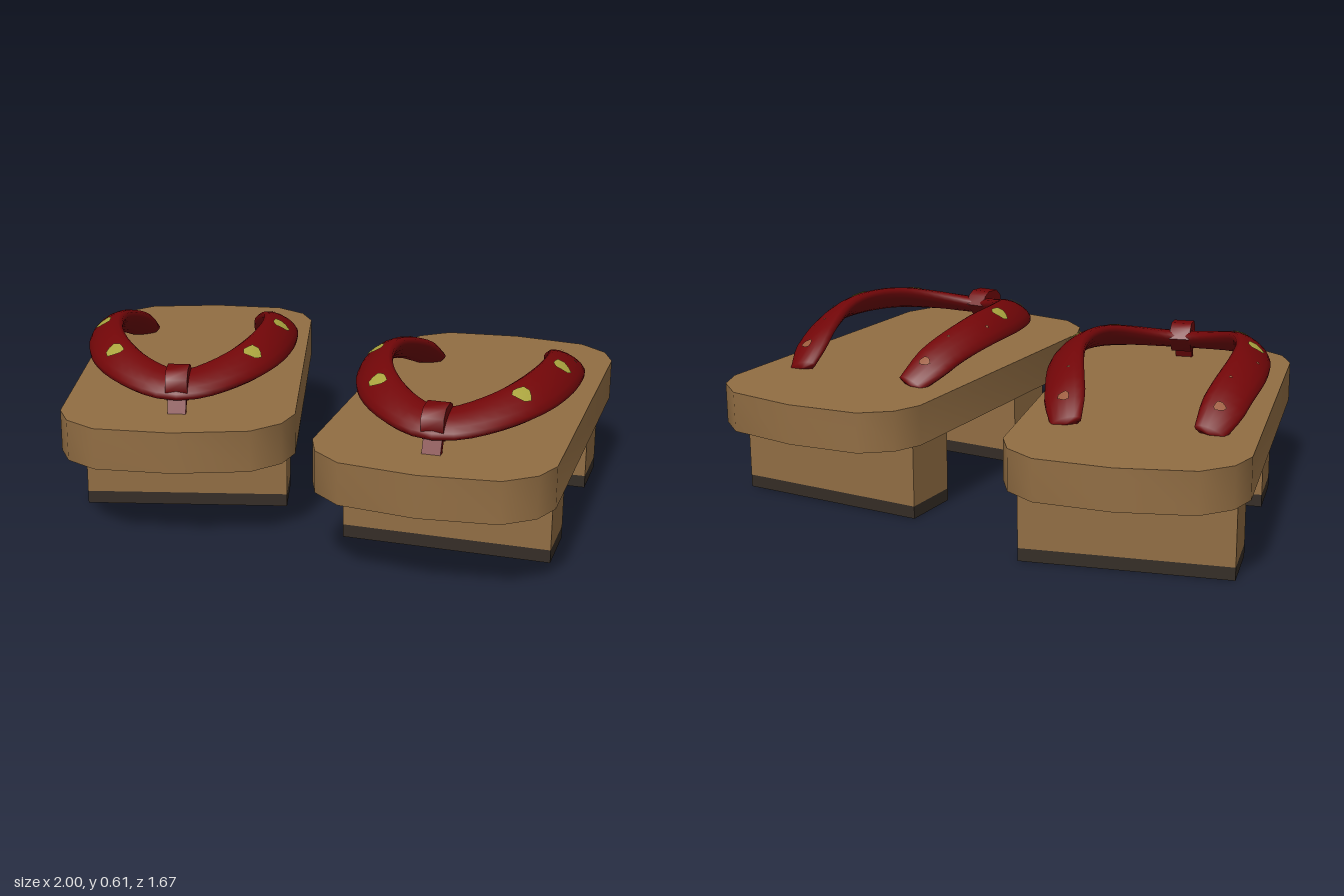
import * as THREE from 'three';
import { toCreasedNormals } from 'three/addons/utils/BufferGeometryUtils.js';

const material = (name, color, side = THREE.FrontSide) => {
  const m = new THREE.MeshStandardMaterial({ color, side });
  m.name = name;
  return m;
};
const V = (x, y, z) => new THREE.Vector3(x, y, z);
const DECK_TOP = 0.423, DECK_BOTTOM = 0.28;

// Half of the strap path, from the rear end to the toe, in sandal coordinates
const half = [
  [-0.235, 0.425, -0.387], [-0.277, 0.507, -0.23], [-0.314, 0.557, -0.03], [-0.308, 0.563, 0.15],
  [-0.262, 0.552, 0.31], [-0.182, 0.53, 0.425], [-0.07, 0.508, 0.51],
];
const path = new THREE.CatmullRomCurve3([
  ...half.map(p => V(...p)),
  V(0, 0.503, 0.53),
  ...half.slice().reverse().map(([x, y, z]) => V(-x, y, z)),
]);

// Point on the flattened strap at path position t and section angle a;
// the strap leans outward most along the sides
function strapPoint(t, a, scale = 1, lift = 0) {
  const tangent = path.getTangentAt(t);
  const side = tangent.clone().cross(V(0, 1, 0)).normalize();
  const up = side.clone().cross(tangent).normalize();
  const tilt = 0.35 + 0.3 * Math.sin(2 * Math.PI * t) ** 2;
  const c = Math.cos(tilt), s = Math.sin(tilt);
  const out = side.clone().multiplyScalar(c).addScaledVector(up, -s);
  const top = up.multiplyScalar(c).addScaledVector(side, s);
  return path.getPointAt(t)
    .addScaledVector(out, (0.074 + lift) * scale * Math.cos(a))
    .addScaledVector(top, (0.031 + lift) * scale * Math.sin(a));
}

function surface(points, index) {
  const g = new THREE.BufferGeometry().setFromPoints(points);
  g.setIndex(index);
  g.computeVertexNormals();
  return g;
}

function strapGeometry() {
  const rings = 48, sides = 14, points = [], index = [];
  for (let i = 0; i <= rings; i++) {
    // the end rings close to a rounded tip
    const fromEnd = Math.min(i, rings - i);
    const scale = [0.01, 0.72, 0.93][fromEnd] ?? 1;
    const t = i === 1 ? 0.004 : i === rings - 1 ? 0.996 : i / rings;
    for (let j = 0; j < sides; j++) {
      points.push(strapPoint(t, (j / sides) * Math.PI * 2, scale));
      if (i === rings) continue;
      const a = i * sides + j, b = i * sides + (j + 1) % sides;
      index.push(a, a + sides, b, b, a + sides, b + sides);
    }
  }
  return surface(points, index);
}

// Painted patch that follows the strap surface
function spotGeometry(t, a, r) {
  const n = 9, lift = 0.004, points = [strapPoint(t, a, 1, lift)], index = [];
  for (let ring = 1; ring <= 2; ring++) {
    for (let k = 0; k < n; k++) {
      const w = (k / n) * Math.PI * 2, q = r * ring / 2 * (1 + 0.15 * Math.sin(3 * w));
      points.push(strapPoint(t + (q * Math.cos(w)) / 2.2, a + (q * Math.sin(w)) / 0.074, 1, lift));
    }
  }
  for (let k = 0; k < n; k++) {
    const a1 = 1 + k, b1 = 1 + (k + 1) % n;
    index.push(0, a1, b1, a1, a1 + n, b1, b1, a1 + n, b1 + n);
  }
  return surface(points, index);
}

function deckGeometry() {
  const rear = [[0, -0.78], [0.26, -0.75], [0.36, -0.67], [0.4, -0.57]];
  const right = [...rear, ...rear.slice().reverse().map(([x, z]) => [x, 0.006 - z])];
  const left = right.slice(1, -1).reverse().map(([x, z]) => [-x, z]);
  const shape = new THREE.Shape([...right, ...left].map(p => new THREE.Vector2(...p)));
  const g = new THREE.ExtrudeGeometry(shape, { depth: DECK_TOP - DECK_BOTTOM, bevelEnabled: false });
  g.rotateX(Math.PI / 2).translate(0, DECK_TOP, 0);
  return toCreasedNormals(g, 0.7);
}

// Open four-walled shell, hollow from below
function shellGeometry(y0, y1) {
  const r = Math.SQRT1_2;
  const g = new THREE.CylinderGeometry(r, r, y1 - y0, 4, 1, true).rotateY(Math.PI / 4)
    .scale(0.715, 1, 0.22).translate(0, (y0 + y1) / 2, 0).toNonIndexed();
  g.computeVertexNormals();
  return g;
}

// Side profile (z, y) extruded across x
function profileGeometry(profile, width) {
  const shape = new THREE.Shape(profile.map(([z, y]) => new THREE.Vector2(-z, y)));
  const g = new THREE.ExtrudeGeometry(shape, { depth: width, bevelEnabled: false });
  g.translate(0, 0, -width / 2).rotateY(Math.PI / 2);
  return toCreasedNormals(g, 0.9);
}

export function createModel() {
  const wood = material('wood', 0x916d43);
  const shellWood = wood.clone();
  shellWood.side = THREE.DoubleSide;
  const sole = material('dark sole', 0x342c25, THREE.DoubleSide);
  const red = material('red cloth', 0x720608, THREE.DoubleSide);
  const yellow = material('yellow green', 0xaaa43e, THREE.DoubleSide);
  const tan = material('tan speck', 0x9a5a3c, THREE.DoubleSide);

  const deck = deckGeometry(), strap = strapGeometry();
  const footWall = shellGeometry(0.045, DECK_BOTTOM), footTip = shellGeometry(0, 0.045);
  const knot = profileGeometry([
    [0.45, 0.52], [0.47, 0.555], [0.5, 0.57], [0.56, 0.567], [0.59, 0.54],
    [0.59, 0.495], [0.565, 0.46], [0.51, 0.46],
  ], 0.075);
  const leg = profileGeometry([[0.545, 0.48], [0.575, 0.48], [0.6, 0.42], [0.575, 0.42]], 0.062);

  // [path position, section angle, radius, material], mirrored on both sides
  const top = Math.PI / 2;
  const spots = [
    [0.238, top + 0.2, 0.034, yellow], [0.362, top + 0.1, 0.032, yellow],
    [0.045, top + 0.1, 0.02, tan], [0.18, top - 0.2, 0.007, tan], [0.11, top + 0.4, 0.006, tan],
  ];

  const model = new THREE.Group();
  model.name = 'sandals';
  const add = (parent, name, geometry, mat) => {
    const m = new THREE.Mesh(geometry, mat);
    m.name = name;
    parent.add(m);
  };

  function sandal(name, x, z, turn) {
    const g = new THREE.Group();
    g.name = name;
    add(g, 'deck', deck, wood);
    for (const [footName, fz] of [['frontFoot', 0.258], ['rearFoot', -0.447]]) {
      const foot = new THREE.Group();
      foot.name = footName;
      foot.position.z = fz;
      add(foot, 'footWall', footWall, shellWood);
      add(foot, 'footSole', footTip, sole);
      g.add(foot);
    }
    add(g, 'strap', strap, red);
    add(g, 'knot', knot, red);
    add(g, 'toePost', leg, red);
    for (const [t, a, r, mat] of spots) {
      add(g, 'spot', spotGeometry(t, a, r), mat);
      add(g, 'spot', spotGeometry(1 - t, a, r), mat);
    }
    g.position.set(x, 0, z);
    g.rotation.y = turn;
    model.add(g);
  }

  sandal('leftSandal', 0.6, 0.05, 0);
  sandal('rightSandal', -0.468, -0.043, 0.265);
  return model;
}
